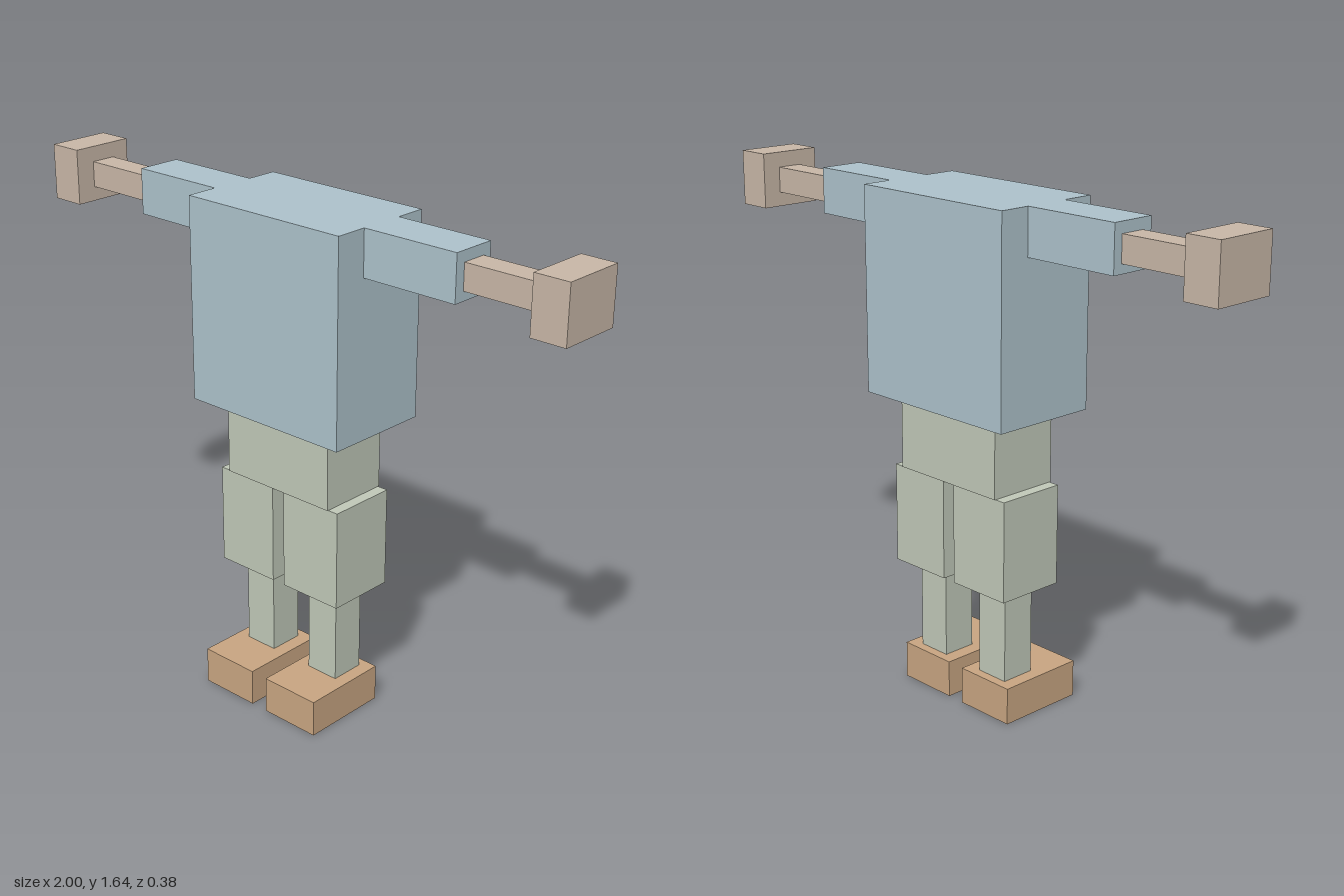
import * as THREE from 'three';

const flat = (name, color) => {
  const m = new THREE.MeshStandardMaterial({ color });
  m.name = name;
  return m;
};

// Box given by its [min, max] range on each axis
function block(name, material, [x0, x1], [y0, y1], [z0, z1]) {
  const mesh = new THREE.Mesh(new THREE.BoxGeometry(x1 - x0, y1 - y0, z1 - z0), material);
  mesh.position.set((x0 + x1) / 2, (y0 + y1) / 2, (z0 + z1) / 2);
  mesh.name = name;
  return mesh;
}

export function createModel() {
  const shirt = flat('shirtBlue', 0xaec3cc);
  const trousers = flat('trouserGreen', 0xc1c9b9);
  const skin = flat('skinBeige', 0xc9b8a8);
  const shoe = flat('shoeTan', 0xc9a682);

  const model = new THREE.Group();
  model.name = 'blockFigure';

  // Body core
  model.add(
    block('torso', shirt, [-0.294, 0.294], [0.978, 1.622], [-0.192, 0.163]),
    block('hips', trousers, [-0.207, 0.207], [0.74, 0.978], [-0.132, 0.104])
  );

  // Limb parts on the left side, mirrored to the right
  const limbs = [
    ['Sleeve', shirt, [0.294, 0.618], [1.477, 1.622], [-0.09, 0.057]],
    ['Forearm', skin, [0.618, 0.886], [1.506, 1.588], [-0.06, 0.023]],
    ['Hand', skin, [0.886, 1], [1.46, 1.637], [-0.121, 0.088]],
    ['Thigh', trousers, [0.023, 0.243], [0.418, 0.74], [-0.128, 0.1]],
    ['Shin', trousers, [0.077, 0.191], [0.12, 0.418], [-0.071, 0.043]],
    ['Shoe', shoe, [0.03, 0.235], [0, 0.12], [-0.102, 0.192]],
  ];
  for (const [name, material, [x0, x1], y, z] of limbs) {
    model.add(
      block('left' + name, material, [x0, x1], y, z),
      block('right' + name, material, [-x1, -x0], y, z)
    );
  }
  return model;
}
